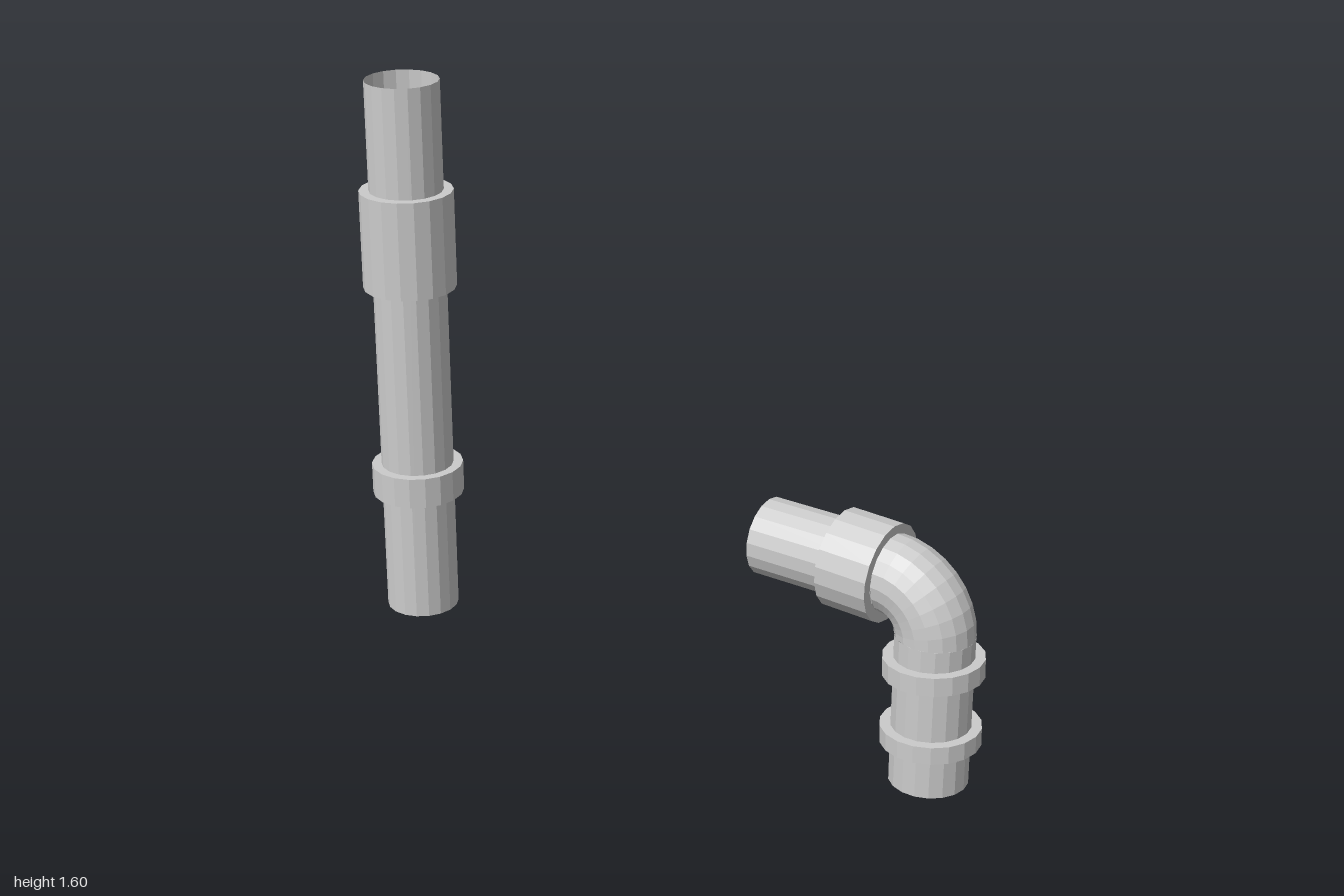
import * as THREE from 'three';

const SIDES = 18;
const PIPE_R = 0.105;
const COLLAR_R = 0.133;

// Quarter circle in the YZ plane, from vertical to pointing back
class ElbowCurve extends THREE.Curve {
  constructor(y, z, radius) {
    super();
    Object.assign(this, { y, z, radius });
  }
  getPoint(t, target = new THREE.Vector3()) {
    const a = t * Math.PI / 2;
    return target.set(0, this.y + this.radius * Math.sin(a), this.z + this.radius * Math.cos(a));
  }
}

export function createModel() {
  const model = new THREE.Group();
  const collarMat = new THREE.MeshStandardMaterial({ color: 0xcccccc, flatShading: true });
  const pipeMat = new THREE.MeshStandardMaterial({ color: 0xcccccc, flatShading: true, side: THREE.DoubleSide });

  function cylinder(parent, name, radius, length, y, z, tilt, open) {
    const geo = new THREE.CylinderGeometry(radius, radius, length, SIDES, 1, open);
    const mesh = new THREE.Mesh(geo, open ? pipeMat : collarMat);
    mesh.name = name;
    mesh.position.set(0, y, z);
    mesh.rotation.x = tilt;
    parent.add(mesh);
  }
  const pipe = (parent, name, length, y, z, tilt = 0) =>
    cylinder(parent, name, PIPE_R, length, y, z, tilt, true);
  const collar = (parent, name, length, y, z, tilt = 0) =>
    cylinder(parent, name, COLLAR_R, length, y, z, tilt, false);

  // Tall straight pipe at the back with a ring and a long sleeve
  const straight = new THREE.Group();
  straight.name = 'straightPipe';
  pipe(straight, 'straightTube', 1.6, 0.8, -0.867);
  collar(straight, 'straightRing', 0.09, 0.41, -0.867);
  collar(straight, 'straightSleeve', 0.285, 1.1425, -0.867);
  model.add(straight);

  // Elbow pipe at the front: riser, bend and horizontal outlet
  const elbow = new THREE.Group();
  elbow.name = 'elbowPipe';
  const bendY = 0.422, bendZ = 0.732, bendR = 0.135, outletEnd = 0.357;
  pipe(elbow, 'elbowRiser', bendY, bendY / 2, bendZ + bendR);
  const bend = new THREE.Mesh(
    new THREE.TubeGeometry(new ElbowCurve(bendY, bendZ, bendR), 8, PIPE_R, SIDES), pipeMat);
  bend.name = 'elbowBend';
  elbow.add(bend);
  pipe(elbow, 'elbowOutlet', bendZ - outletEnd, bendY + bendR, (bendZ + outletEnd) / 2, -Math.PI / 2);

  // Slightly tilted rings and sleeve
  collar(elbow, 'lowerRing', 0.048, 0.139, 0.867, -0.025);
  collar(elbow, 'upperRing', 0.051, 0.336, 0.867, -0.04);
  collar(elbow, 'outletSleeve', 0.148, 0.557, 0.657, -Math.PI / 2 - 0.035 + 0.07);
  model.add(elbow);

  return model;
}
